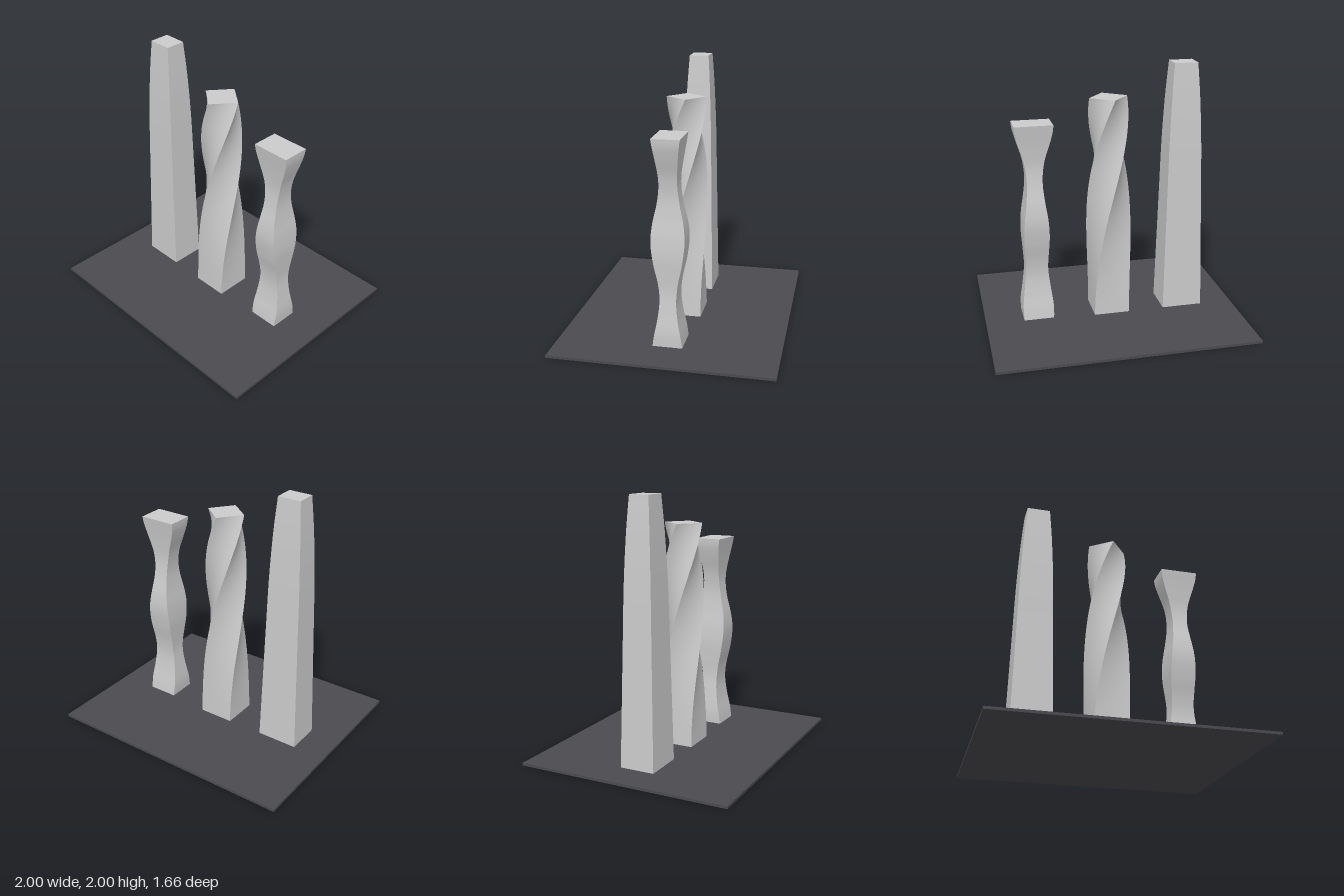
import * as THREE from 'three';

// Smooth curve through [height, value] pairs
function profile(points) {
  const curve = new THREE.CubicInterpolant(points.map(p => p[0]), points.map(p => p[1]), 1);
  return y => curve.evaluate(y)[0];
}

// Square-section tower: half-width, half-depth and twist all follow the height
function tower(name, x, height, halfWidth, halfDepth, twist = () => 0) {
  const bottom = 0.004; // foot sunk into the ground slab
  const geometry = new THREE.BoxGeometry(2, 1, 2, 6, 72, 6);
  const pos = geometry.attributes.position;
  for (let i = 0; i < pos.count; i++) {
    const y = bottom + (pos.getY(i) + 0.5) * (height - bottom);
    const px = pos.getX(i) * halfWidth(y);
    const pz = pos.getZ(i) * halfDepth(y);
    const a = twist(y);
    pos.setXYZ(i, px * Math.cos(a) + pz * Math.sin(a), y, pz * Math.cos(a) - px * Math.sin(a));
  }
  geometry.computeVertexNormals();
  const mesh = new THREE.Mesh(geometry, new THREE.MeshStandardMaterial({ color: 0xcccccc }));
  mesh.name = name;
  mesh.position.x = x;
  return mesh;
}

export function createModel() {
  const group = new THREE.Group();
  group.name = 'threeTowers';

  // Ground slab
  const ground = new THREE.Mesh(
    new THREE.BoxGeometry(2, 0.02, 1.664),
    new THREE.MeshStandardMaterial({ color: 0x4a4a50 })
  );
  ground.name = 'groundSlab';
  ground.position.y = 0.01;
  group.add(ground);

  // Tall tower with a gently bowed taper
  const taper = profile([[0, 1], [0.5, 0.925], [1, 0.85], [1.4, 0.785], [1.75, 0.68], [2, 0.565]]);
  group.add(tower('taperedTower', -0.583, 2, y => 0.161 * taper(y), y => 0.136 * taper(y)));

  // Twisted tower, turning faster towards the top
  const side = profile([[0, 0.141], [0.5, 0.131], [1, 0.117], [1.4, 0.109], [1.755, 0.107]]);
  const turn = y => THREE.MathUtils.degToRad(142) * (y / 1.755) ** 2;
  group.add(tower('twistedTower', 0, 1.755, side, side, turn));

  // Wavy tower, its width and depth swelling at different heights
  const waveWidth = profile([
    [0, 0.117], [0.12, 0.12], [0.28, 0.102], [0.43, 0.087], [0.57, 0.092], [0.71, 0.098],
    [0.85, 0.09], [1, 0.07], [1.15, 0.06], [1.3, 0.078], [1.45, 0.122], [1.53, 0.142], [1.585, 0.147],
  ]);
  const waveDepth = profile([
    [0, 0.114], [0.1, 0.1], [0.22, 0.077], [0.37, 0.062], [0.5, 0.073], [0.65, 0.104],
    [0.82, 0.124], [0.95, 0.114], [1.1, 0.083], [1.25, 0.067], [1.4, 0.078], [1.585, 0.103],
  ]);
  group.add(tower('wavyTower', 0.583, 1.585, waveWidth, waveDepth));

  return group;
}
